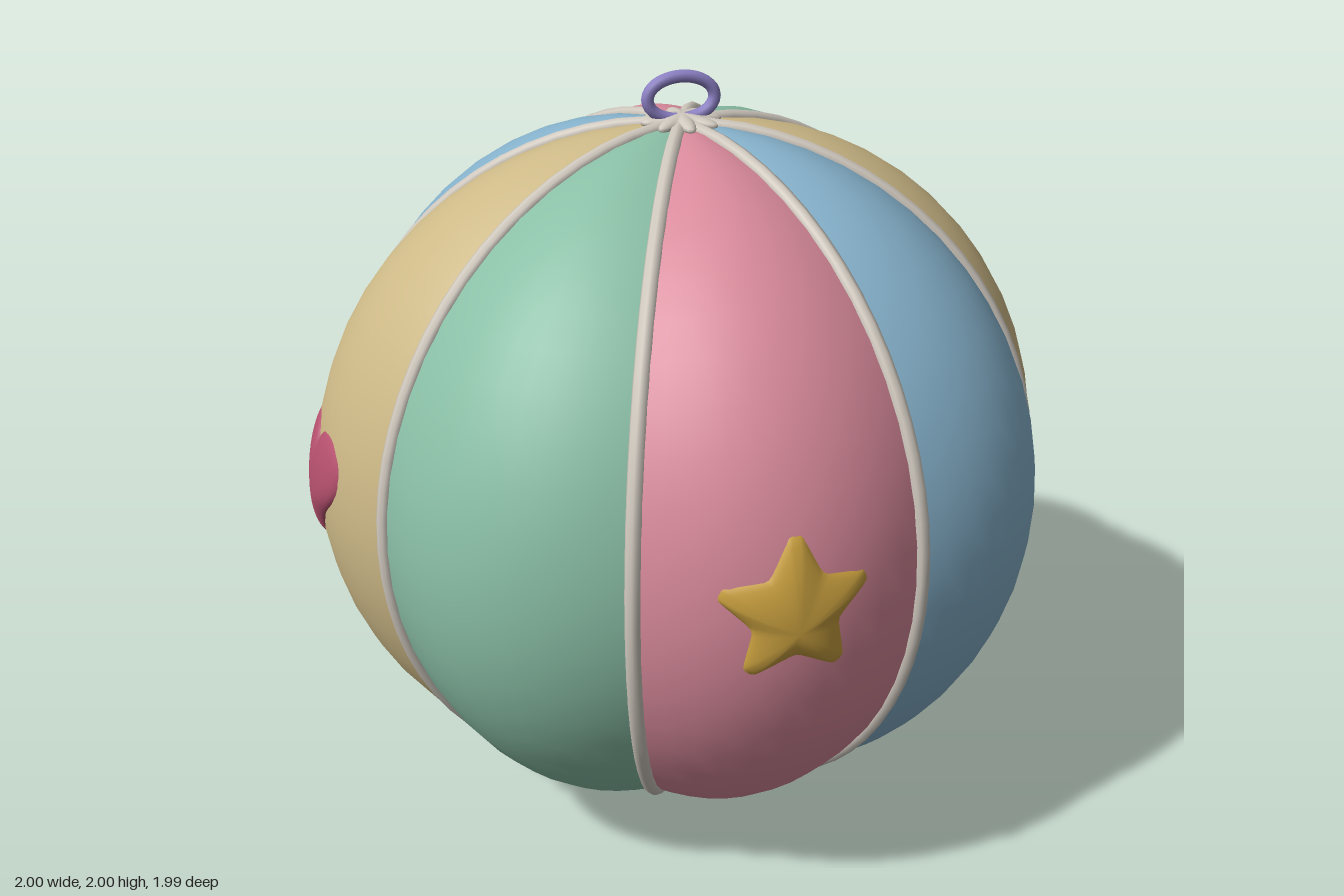
import * as THREE from 'three';
import { ParametricGeometry } from 'three/addons/geometries/ParametricGeometry.js';
import { mergeVertices } from 'three/addons/utils/BufferGeometryUtils.js';

const RX = 0.93, RY = 0.92, BULGE = 0.06, SEGMENTS = 8;
const STEP = (Math.PI * 2) / SEGMENTS;

const material = (color) => new THREE.MeshStandardMaterial({ color });

function addMesh(parent, name, geometry, mat) {
  const mesh = new THREE.Mesh(geometry, mat);
  mesh.name = name;
  parent.add(mesh);
  return mesh;
}

// Puffed ball surface: azimuth 0 is the middle of the front panel, seams lie between panels
function surface(az, polar, target) {
  const k = 1 + BULGE * Math.abs(Math.cos((az * SEGMENTS) / 2)) * Math.sin(polar);
  const r = RX * Math.sin(polar) * k;
  return target.set(r * Math.sin(az), RY * Math.cos(polar) * k, r * Math.cos(az));
}

// One fabric panel between two seams
function panelGeometry(index) {
  return new ParametricGeometry((u, v, p) => {
    surface((index - 0.5 + u) * STEP, Math.PI - 0.02 - v * (Math.PI - 0.04), p);
  }, 10, 28);
}

// Padded patch that follows the ball; outline(u) runs counter-clockwise
function patchGeometry(outline, slices, thickness) {
  const geo = new ParametricGeometry((u, v, p) => {
    const o = outline(u % 1);
    const s = 1 - v;
    const lift = -0.018 + (thickness + 0.018) * Math.sqrt(1 - s * s);
    surface((o.x * s) / 0.96, Math.PI / 2 - (o.y * s) / 0.96, p).multiplyScalar(1 + lift);
  }, slices, 10);
  geo.deleteAttribute('normal');
  geo.deleteAttribute('uv');
  const merged = mergeVertices(geo, 1e-5);
  merged.computeVertexNormals();
  return merged;
}

// Blunt five-pointed star
function starOutline() {
  const pts = [];
  const add = (angle, r) => pts.push(new THREE.Vector3(r * Math.cos(angle), r * Math.sin(angle) + 0.05, 0));
  for (let i = 0; i < 5; i++) {
    const a = Math.PI / 2 + (i * Math.PI * 2) / 5;
    add(a - 0.09, 0.202);
    add(a + 0.09, 0.202);
    add(a + Math.PI / 5, 0.122);
  }
  const curve = new THREE.CatmullRomCurve3(pts, true, 'catmullrom', 0.25);
  return (u) => curve.getPoint(u);
}

function heartOutline(u) {
  const t = u * Math.PI * 2;
  const s = 0.0121;
  return {
    x: -16 * s * Math.sin(t) ** 3,
    y: s * (13 * Math.cos(t) - 5 * Math.cos(2 * t) - 2 * Math.cos(3 * t) - Math.cos(4 * t)) + 0.08,
  };
}

// Flattened cap with a scalloped rim where the seams meet
function capGeometry() {
  const geo = new THREE.SphereGeometry(1, 64, 12);
  const pos = geo.attributes.position;
  for (let i = 0; i < pos.count; i++) {
    const x = pos.getX(i), z = pos.getZ(i);
    const r = 0.085 + 0.022 * Math.cos(SEGMENTS * Math.atan2(x, z));
    pos.setXYZ(i, x * r, pos.getY(i) * 0.02, z * r);
  }
  geo.computeVertexNormals();
  return geo;
}

export function createModel() {
  const model = new THREE.Group();
  model.name = 'clothBall';
  const ball = new THREE.Group();
  ball.name = 'ball';
  ball.position.set(0.008, 0.945, -0.015);
  model.add(ball);

  // Panels, repeating pink, blue, gold, green from the front towards +x
  const fabrics = [0xd98a9b, 0x86b2cc, 0xcdb987, 0x8abfa6].map(material);
  for (let i = 0; i < SEGMENTS; i++) {
    addMesh(ball, 'panel' + (i + 1), panelGeometry(i), fabrics[i % 4]);
  }

  // Piping along the seams
  const piping = material(0xcfc8be);
  const arc = [];
  for (let i = 0; i <= 16; i++) {
    const t = (i / 16) * Math.PI;
    arc.push(new THREE.Vector3(0, RY * Math.cos(t), RX * Math.sin(t)));
  }
  const seam = new THREE.TubeGeometry(new THREE.CatmullRomCurve3(arc), 36, 0.02, 8);
  for (let i = 0; i < SEGMENTS; i++) {
    addMesh(ball, 'seam' + (i + 1), seam, piping).rotation.y = (i + 0.5) * STEP;
  }

  // Caps at both poles
  const cap = capGeometry();
  addMesh(ball, 'topCap', cap, piping).position.y = 0.925;
  addMesh(ball, 'bottomCap', cap, piping).position.y = -0.925;

  // Oval hanging loop
  const loop = [];
  for (let i = 0; i < 16; i++) {
    const t = (i / 16) * Math.PI * 2;
    loop.push(new THREE.Vector3(0.088 * Math.cos(t), 0.055 * Math.sin(t), 0));
  }
  const loopGeo = new THREE.TubeGeometry(new THREE.CatmullRomCurve3(loop, true), 40, 0.016, 10, true);
  addMesh(ball, 'hangingLoop', loopGeo, material(0x8c80c4)).position.y = 0.984;

  // Star on the front panel, heart on the -x panel
  addMesh(ball, 'starPatch', patchGeometry(starOutline(), 75, 0.02), material(0xc9a03f));
  addMesh(ball, 'heartPatch', patchGeometry(heartOutline, 56, 0.024), material(0xb5506e)).rotation.y = -Math.PI / 2;

  return model;
}
